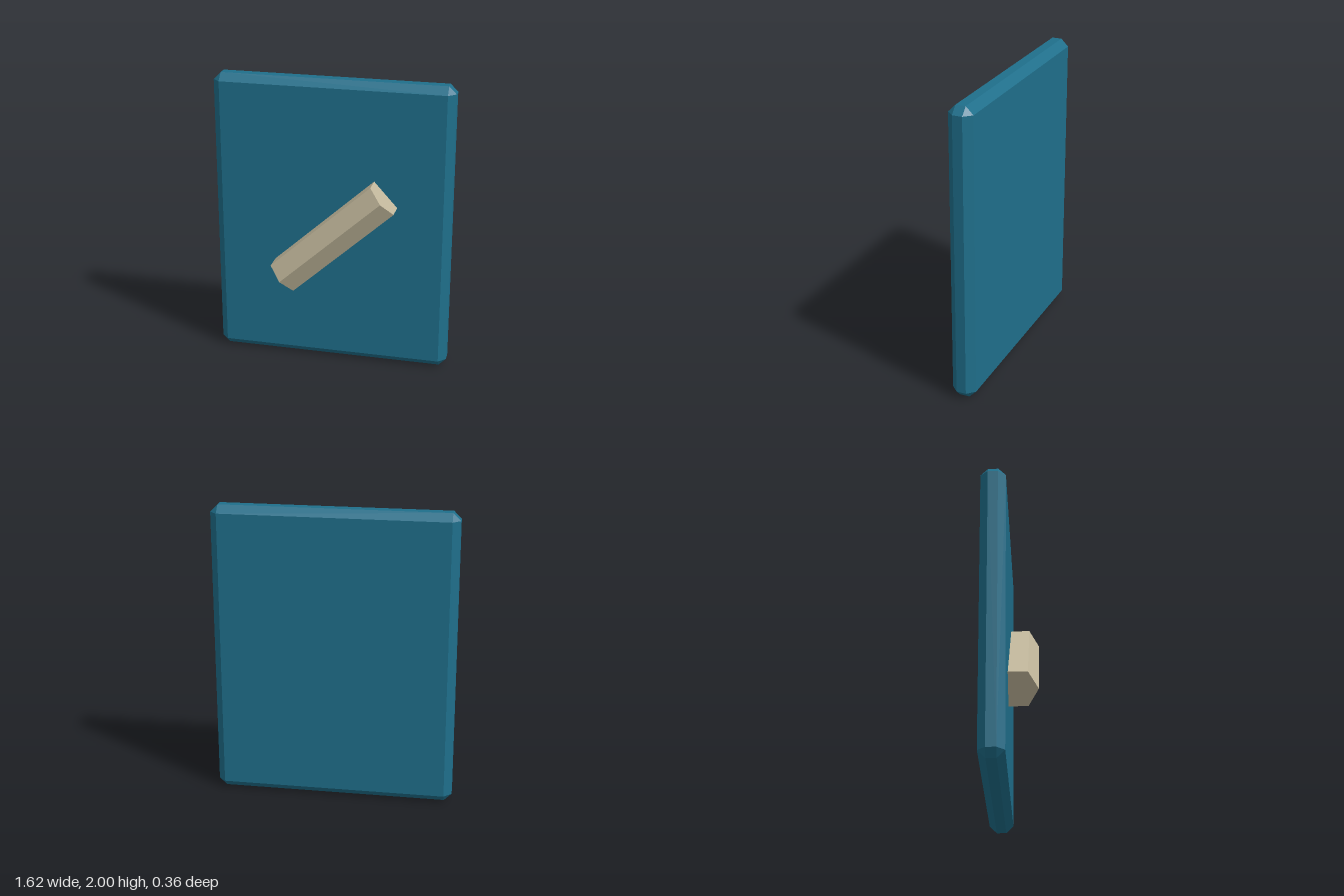
import * as THREE from 'three';
import { ConvexGeometry } from 'three/addons/geometries/ConvexGeometry.js';

// Box with all edges chamfered by c
function chamferedBox(w, h, d, c) {
  const half = [w / 2, h / 2, d / 2];
  const points = [];
  for (const sx of [-1, 1]) for (const sy of [-1, 1]) for (const sz of [-1, 1]) {
    for (let axis = 0; axis < 3; axis++) {
      const [x, y, z] = half.map((v, i) => (i === axis ? v : v - c));
      points.push(new THREE.Vector3(sx * x, sy * y, sz * z));
    }
  }
  return new ConvexGeometry(points);
}

// Prism with a peaked front, running along x, ridge towards +z
function ridgedBar(length, halfWidth, back, shoulder, ridge) {
  const profile = new THREE.Shape([
    [-halfWidth, back], [halfWidth, back], [halfWidth, shoulder], [0, ridge], [-halfWidth, shoulder],
  ].map(([x, y]) => new THREE.Vector2(x, y)));
  const geometry = new THREE.ExtrudeGeometry(profile, { depth: length, bevelEnabled: false });
  geometry.translate(0, 0, -length / 2);
  const alongX = new THREE.Matrix4().makeBasis(
    new THREE.Vector3(0, 1, 0), new THREE.Vector3(0, 0, 1), new THREE.Vector3(1, 0, 0));
  return geometry.applyMatrix4(alongX);
}

export function createModel() {
  const group = new THREE.Group();
  group.name = 'panelWithDiagonalBar';

  // Upright panel
  const panel = new THREE.Mesh(
    chamferedBox(1.62, 2, 0.166, 0.05),
    new THREE.MeshStandardMaterial({ color: 0x1f6f8b, flatShading: true }));
  panel.name = 'panel';
  panel.position.set(0, 1, -0.098);
  group.add(panel);

  // Diagonal ridged bar on the front, set slightly into the panel
  const bar = new THREE.Mesh(
    ridgedBar(0.925, 0.117, -0.03, 0.113, 0.181),
    new THREE.MeshStandardMaterial({ color: 0xc2b89c, flatShading: true }));
  bar.name = 'diagonalBar';
  bar.position.set(0.03, 0.939, 0);
  bar.rotation.z = THREE.MathUtils.degToRad(42.2);
  group.add(bar);

  return group;
}
